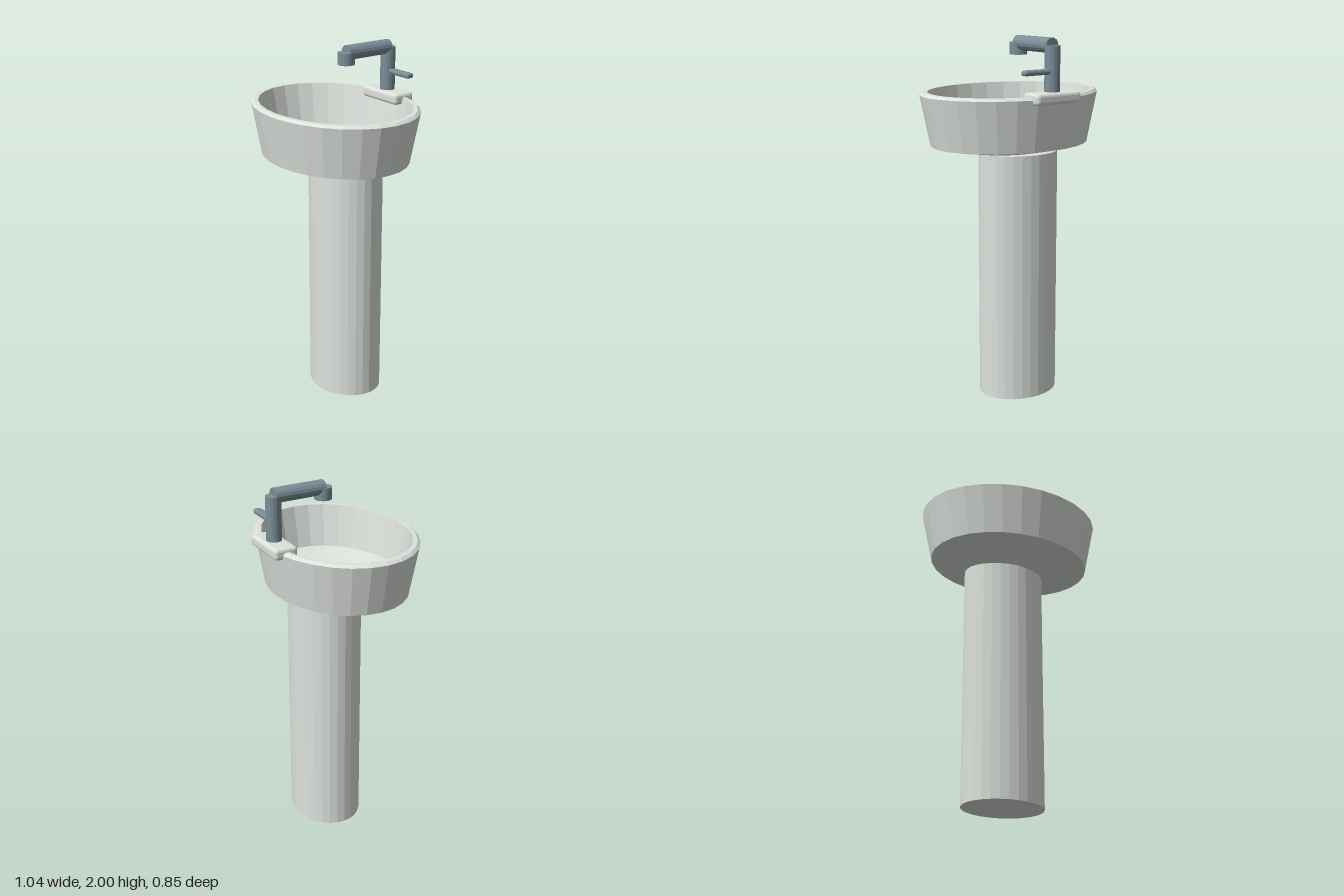
import * as THREE from 'three';
import { RoundedBoxGeometry } from 'three/addons/geometries/RoundedBoxGeometry.js';

export function createModel() {
  const group = new THREE.Group();
  const ceramic = new THREE.MeshStandardMaterial({ color: 0xdde2dd });
  ceramic.name = 'ceramic';
  ceramic.flatShading = true;
  const metal = new THREE.MeshStandardMaterial({ color: 0x7b8e98 });
  metal.name = 'brushedMetal';
  metal.flatShading = true;

  const add = (name, geometry, material, x, y, z) => {
    const mesh = new THREE.Mesh(geometry, material);
    mesh.name = name;
    mesh.position.set(x, y, z);
    group.add(mesh);
    return mesh;
  };

  // Oval column
  add('pedestal', new THREE.CylinderGeometry(0.23, 0.23, 1.377, 28), ceramic, 0, 0.6885, -0.068)
    .scale.z = 0.83;

  // Oval bowl: underside, outer wall, rim, inner wall, floor
  const profile = [
    [0, 1.36], [0.165, 1.36], [0.462, 1.412], [0.52, 1.69], [0.502, 1.703],
    [0.475, 1.703], [0.425, 1.47], [0.165, 1.428], [0.087, 1.424], [0, 1.424],
  ].map(([r, y]) => new THREE.Vector2(r, y));
  add('bowl', new THREE.LatheGeometry(profile, 28), ceramic, 0, 0, 0.008).scale.z = 0.79;

  // Drain disc on the bowl floor
  add('drain', new THREE.CylinderGeometry(0.087, 0.087, 0.006, 28), ceramic, 0, 1.424, 0.008)
    .scale.z = 0.8;

  // Tap ledge over the back rim
  add('tapLedge', new RoundedBoxGeometry(0.288, 0.06, 0.13, 2, 0.018), ceramic, 0, 1.694, -0.362);

  // Tap: riser, arm, nozzle, lever
  add('tapRiser', new THREE.CylinderGeometry(0.041, 0.041, 0.24, 16), metal, 0, 1.84, -0.359);
  add('tapArm', new THREE.CylinderGeometry(0.04, 0.04, 0.288, 16), metal, 0, 1.96, -0.214)
    .rotation.x = Math.PI / 2;
  add('tapNozzle', new THREE.CylinderGeometry(0.047, 0.047, 0.065, 16), metal, 0, 1.93, -0.069);
  add('tapLever', new RoundedBoxGeometry(0.18, 0.028, 0.046, 2, 0.012), metal, 0.1, 1.828, -0.362);

  return group;
}
